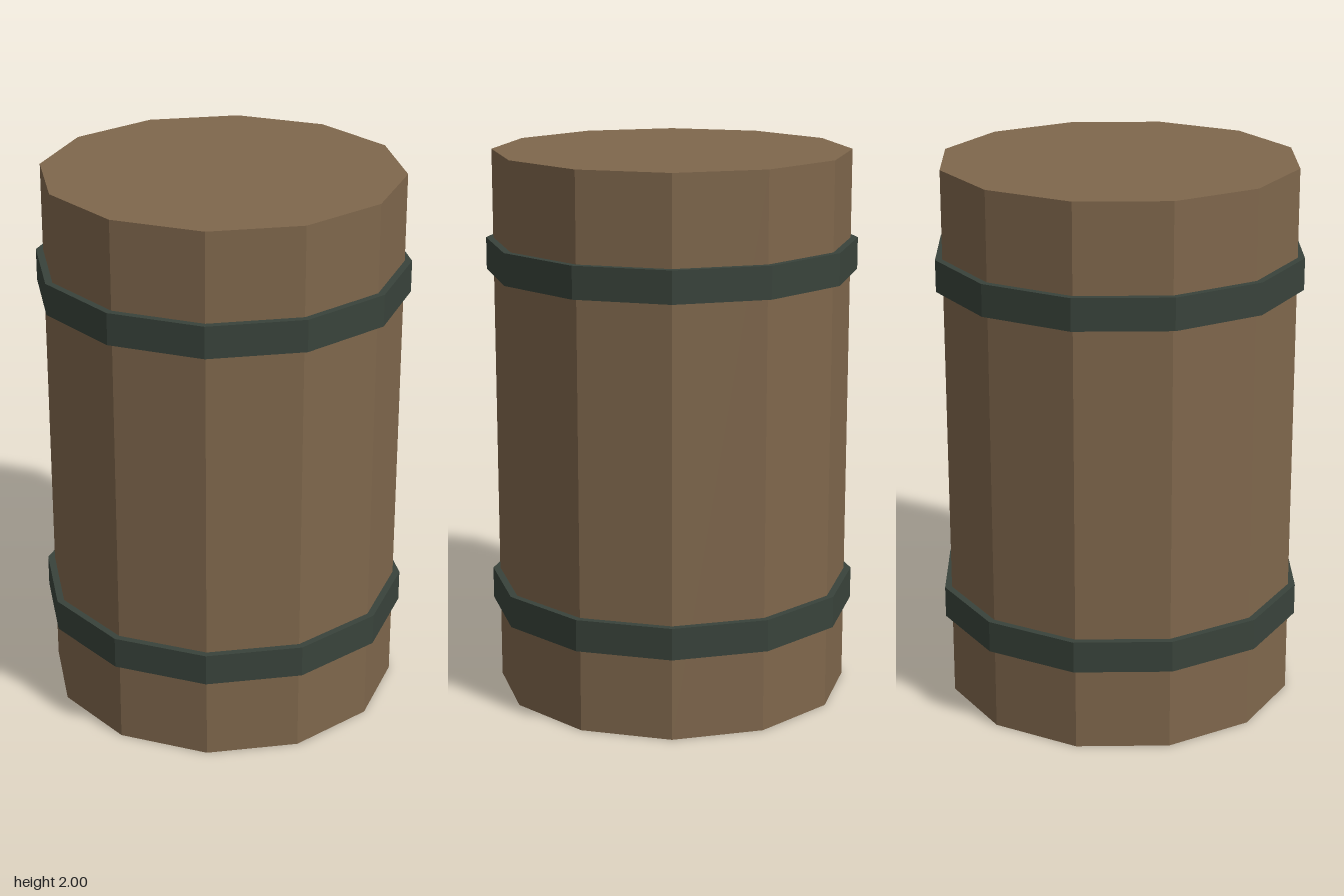
import * as THREE from 'three';

const SIDES = 12;

export function createModel() {
  const group = new THREE.Group();
  group.name = 'barrel';

  const wood = new THREE.MeshStandardMaterial({ color: 0x7f674c });
  wood.name = 'brown wood';
  const iron = new THREE.MeshStandardMaterial({ color: 0x39433b });
  iron.name = 'dark iron';

  // Straight faceted prism centred at height y
  const addPrism = (name, radius, height, y, material) => {
    const geometry = new THREE.CylinderGeometry(radius, radius, height, SIDES).toNonIndexed();
    geometry.computeVertexNormals(); // flat facets
    const mesh = new THREE.Mesh(geometry, material);
    mesh.name = name;
    mesh.position.y = y;
    group.add(mesh);
  };

  // Wooden body with closed ends
  addPrism('body', 0.647, 2, 1, wood);

  // Two hoops, placed evenly about the middle
  addPrism('lowerHoop', 0.673, 0.116, 0.365, iron);
  addPrism('upperHoop', 0.673, 0.116, 1.622, iron);

  return group;
}
